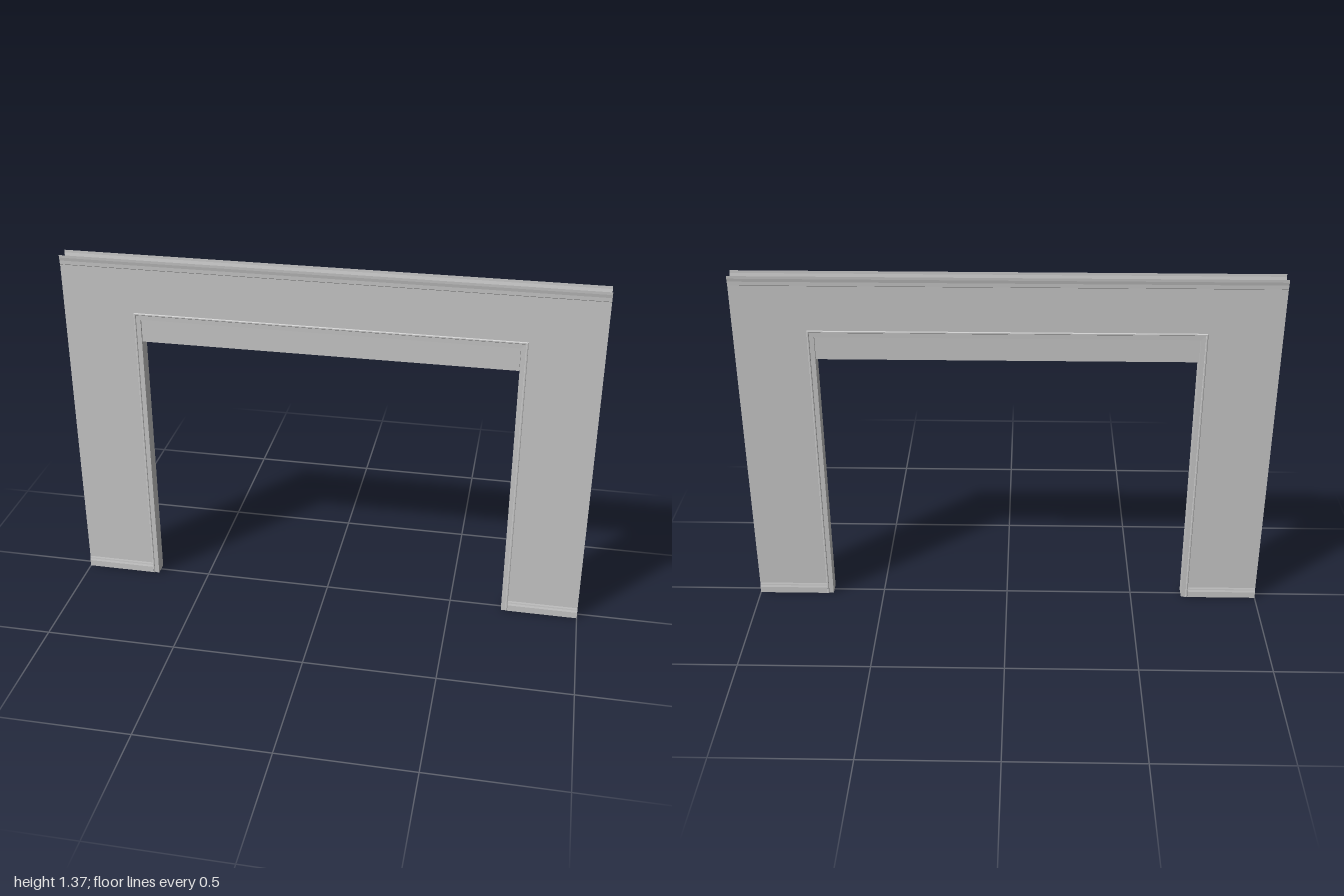
import * as THREE from 'three';

const HALF = 1, TOP = 1.365;              // wall outline
const OPEN_X = 0.704, OPEN_Y = 1.13;      // doorway outline
const TRIM = 0.025, FACE = 0.025;         // casing width, wall face depth
const BASE = 0.045, CORNICE = 1.327;      // moulding edges

const material = new THREE.MeshStandardMaterial({ color: 0xcccccc, side: THREE.DoubleSide });

function add(parent, name, geometry) {
  const mesh = new THREE.Mesh(geometry, material);
  mesh.name = name;
  parent.add(mesh);
  return mesh;
}

// Joins rows of points with flat-shaded quads
function loft(rows) {
  const pos = [];
  for (let i = 0; i < rows.length - 1; i++) {
    for (let j = 0; j < rows[i].length - 1; j++) {
      const a = rows[i][j], b = rows[i + 1][j], c = rows[i + 1][j + 1], d = rows[i][j + 1];
      pos.push(...a, ...b, ...c, ...a, ...c, ...d);
    }
  }
  const g = new THREE.BufferGeometry();
  g.setAttribute('position', new THREE.Float32BufferAttribute(pos, 3));
  g.computeVertexNormals();
  return g;
}

// Horizontal moulding: profile of [y, z] from low to high, between two x positions
const strip = (profile, x0, x1) =>
  loft([x0, x1].map(x => profile.map(([y, z]) => [x, y, z])));

// Moulding mitred round the doorway: profile of [outward offset, z]
function casing(profile) {
  const corners = [[-1, 0], [-1, 1], [1, 1], [1, 0]];
  return loft(corners.map(([sx, top]) => profile.map(([o, z]) =>
    [sx * (OPEN_X + o), top * (OPEN_Y + o), z])).reverse());
}

function wallSide(name) {
  const side = new THREE.Group();
  side.name = name;

  // Flat wall sheet around the doorway
  const ox = OPEN_X + TRIM, oy = OPEN_Y + TRIM;
  const outline = [[-HALF, BASE], [-ox, BASE], [-ox, oy], [ox, oy], [ox, BASE],
    [HALF, BASE], [HALF, CORNICE], [-HALF, CORNICE]];
  const shape = new THREE.Shape(outline.map(([x, y]) => new THREE.Vector2(x, y)));
  add(side, 'wallPanel', new THREE.ShapeGeometry(shape).translate(0, 0, FACE));

  // Skirting on each leg, flaring out at the floor
  const skirting = [[0, 0.029], [0.026, 0.029], [0.034, 0.027], [0.039, 0.0265], [BASE, FACE]];
  add(side, 'rightSkirting', strip(skirting, -HALF, -ox));
  add(side, 'leftSkirting', strip(skirting, ox, HALF));

  // Cornice along the top, flaring out upwards
  const cornice = [[CORNICE, FACE], [1.329, 0.0265], [1.343, 0.0268], [1.355, 0.029], [TOP, 0.0295]];
  add(side, 'cornice', strip(cornice, -HALF, HALF));

  // Stepped casing with a raised outer bead
  add(side, 'doorCasing', casing([[0, 0.023], [0, 0.027], [0.017, 0.0275],
    [0.019, 0.0295], [0.023, 0.0295], [TRIM, 0.028], [TRIM, 0.0235]]));
  return side;
}

export function createModel() {
  const model = new THREE.Group();
  model.name = 'doorwayWall';

  // Matching faces on both sides of the wall
  model.add(wallSide('frontSide'));
  const back = wallSide('backSide');
  back.rotation.y = Math.PI;
  model.add(back);

  // Lining between the two faces
  for (const [name, s] of [['leftJamb', 1], ['rightJamb', -1]]) {
    const jamb = add(model, name, new THREE.PlaneGeometry(2 * FACE, OPEN_Y));
    jamb.rotation.y = -s * Math.PI / 2;
    jamb.position.set(s * OPEN_X, OPEN_Y / 2, 0);
  }
  const soffit = add(model, 'headLining', new THREE.PlaneGeometry(2 * OPEN_X, 2 * FACE));
  soffit.rotation.x = Math.PI / 2;
  soffit.position.y = OPEN_Y;

  // Header box hanging in the top of the doorway
  const header = add(model, 'header', new THREE.BoxGeometry(2 * OPEN_X - 0.002, 0.088, 0.044));
  header.position.y = 1.084;
  return model;
}
